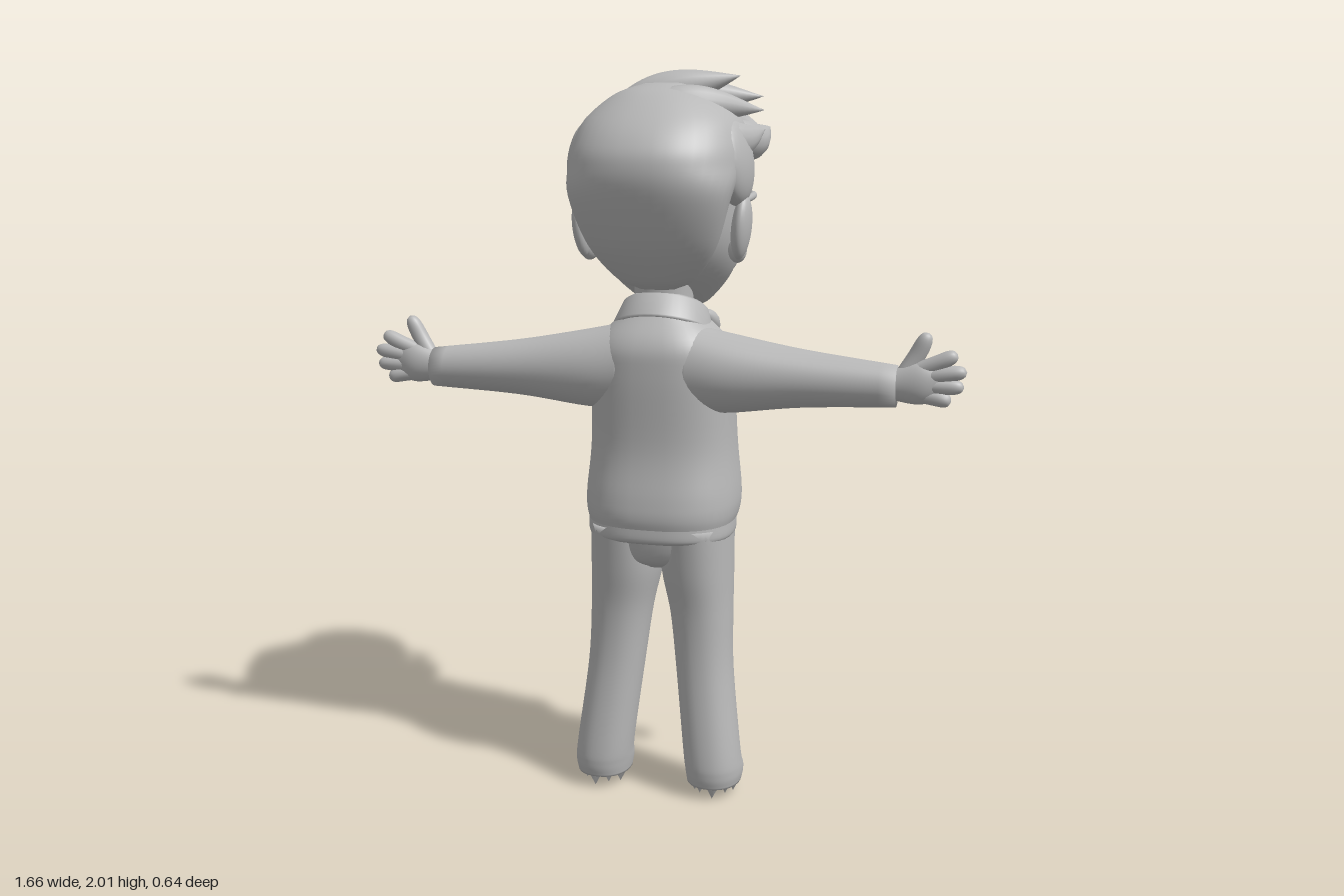
import * as THREE from 'three';
import { mergeVertices } from 'three/addons/utils/BufferGeometryUtils.js';

const clay = new THREE.MeshStandardMaterial({ color: 0xb8b8b8, side: THREE.DoubleSide });
clay.name = 'clay grey';

function add(parent, name, geometry) {
  const mesh = new THREE.Mesh(geometry, clay);
  mesh.name = name;
  parent.add(mesh);
  return mesh;
}

// Smooth body through rows [t, aRadius, bMin, bMax, aCentre].
// axis 'y': t=y, a=x, b=z.  axis 'x': t=x, a=z, b=y.
function loft(rows, axis = 'y', power = 2.2, n = 40) {
  const spline = pick => new THREE.CatmullRomCurve3(rows.map(r => new THREE.Vector3(...pick(r))), false, 'catmullrom');
  const first = spline(r => [r[0], r[1], r[4] ?? 0]), second = spline(r => [r[2], r[3], 0]);
  const steps = (rows.length - 1) * 6, pos = [], idx = [];
  const sup = v => Math.sign(v) * Math.abs(v) ** (2 / power);
  for (let i = -1; i <= steps + 1; i++) {
    // the extra first and last rings shrink to a point and close the ends
    const u = THREE.MathUtils.clamp(i / steps, 0, 1), p = first.getPoint(u), q = second.getPoint(u);
    const k = i < 0 || i > steps ? 0 : 1;
    for (let j = 0; j < n; j++) {
      const th = j / n * Math.PI * 2;
      const a = p.z + k * p.y * sup(Math.cos(th)), b = (q.x + q.y) / 2 + k * (q.y - q.x) / 2 * sup(Math.sin(th));
      if (axis === 'y') pos.push(a, p.x, b); else pos.push(p.x, b, a);
    }
  }
  for (let i = 0; i < steps + 2; i++) for (let j = 0; j < n; j++) {
    const a = i * n + j, b = i * n + (j + 1) % n;
    idx.push(a, a + n, b, b, a + n, b + n);
  }
  const g = new THREE.BufferGeometry();
  g.setAttribute('position', new THREE.Float32BufferAttribute(pos, 3));
  g.setIndex(idx);
  g.computeVertexNormals();
  return g;
}

// Thickness rules along a tube, u from 0 to 1
const even = () => 1;
const fingertip = u => Math.sqrt(1 - u ** 8);
const lens = u => Math.max(0, Math.sin(Math.PI * u));
const roll = u => lens(u) ** 0.6;
const spike = u => lens(u ** 0.85);

// Tube through points with a thickness rule; squash flattens its section.
function tuft(points, radius, rule, squash = [1, 1, 1]) {
  const curve = new THREE.CatmullRomCurve3(points.map(p => new THREE.Vector3(...p)));
  const seg = 28, sides = 14;
  let g = new THREE.TubeGeometry(curve, seg, radius, sides);
  const pos = g.attributes.position, k = new THREE.Vector3(...squash), v = new THREE.Vector3();
  for (let i = 0; i < pos.count; i++) {
    const u = Math.floor(i / (sides + 1)) / seg, c = curve.getPointAt(u);
    v.fromBufferAttribute(pos, i).sub(c).multiplyScalar(rule(u)).multiply(k).add(c);
    pos.setXYZ(i, v.x, v.y, v.z);
  }
  g.deleteAttribute('uv');
  g.deleteAttribute('normal');
  g = mergeVertices(g, 1e-5);
  g.computeVertexNormals();
  return g;
}

function ball(parent, name, at, size, tilt = 0) {
  const m = add(parent, name, new THREE.SphereGeometry(1, 28, 18));
  m.position.set(...at);
  m.scale.set(...size);
  m.rotation.z = tilt;
}

function roundedRect(w, h, r, Type) {
  const s = new Type(), x = w / 2 - r, y = h / 2 - r, q = Math.PI / 2;
  [[x, y], [-x, y], [-x, -y], [x, -y]].forEach(([cx, cy], i) => s.absarc(cx, cy, r, i * q, (i + 1) * q));
  return s.closePath();
}

// Arm, hand, trouser leg and collar flap of the +x side
function limbs() {
  const g = new THREE.Group();
  g.name = 'limbs';
  add(g, 'sleeve', loft([[0.08, 0.1, 1.1, 1.34, 0.08], [0.2, 0.104, 1.1, 1.315, 0.08], [0.4, 0.08, 1.125, 1.28, 0.09],
    [0.65, 0.052, 1.14, 1.25, 0.105]], 'x', 2));
  add(g, 'palm', loft([[0.63, 0.03, 1.16, 1.235, 0.105], [0.71, 0.033, 1.15, 1.262, 0.107], [0.77, 0.015, 1.17, 1.25, 0.107]], 'x', 2));
  add(g, 'thumb', tuft([[0.66, 1.215, 0.1], [0.7, 1.28, 0.095], [0.727, 1.336, 0.1]], 0.023, fingertip));
  [[0.803, 1.285], [0.828, 1.24], [0.822, 1.2], [0.79, 1.16]].forEach(([x, y], i) => {
    const root = 1.242 - i * 0.022;
    add(g, 'finger', tuft([[0.71, root, 0.107], [0.76, (y + root) / 2, 0.112], [x, y, 0.112]], 0.021, fingertip));
  });
  add(g, 'trouserLeg', loft([[0.035, 0.076, -0.015, 0.165, 0.163], [0.07, 0.081, -0.022, 0.172, 0.163], [0.13, 0.08, -0.002, 0.17, 0.157],
    [0.36, 0.08, -0.025, 0.145, 0.13], [0.52, 0.087, -0.055, 0.145, 0.117], [0.65, 0.099, -0.09, 0.165, 0.103], [0.78, 0.1, -0.115, 0.185, 0.1]]));
  for (let i = 0; i < 9; i++) {
    const a = i / 9 * Math.PI * 2, m = add(g, 'frayedCuff', new THREE.ConeGeometry(0.026, 0.05, 5));
    m.position.set(0.163 + Math.cos(a) * 0.055, i % 2 ? 0.035 : 0.025, 0.075 + Math.sin(a) * 0.07);
    m.rotation.x = Math.PI;
  }
  add(g, 'jacketPocket', tuft([[0.125, 0.98, -0.125], [0.14, 0.92, -0.135], [0.16, 0.85, -0.135]], 0.012, roll));
  add(g, 'collarFlap', tuft([[0.115, 1.36, 0.01], [0.09, 1.305, -0.09], [0.04, 1.245, -0.125]], 0.038, spike, [1, 1, 0.5]));
  return g;
}

// Ear, eye, cheek and glasses of the +x side
function headSide() {
  const g = new THREE.Group();
  g.name = 'headSide';
  ball(g, 'ear', [0.222, 1.595, 0.055], [0.026, 0.086, 0.05], -0.1);
  ball(g, 'earLobe', [0.208, 1.535, 0.04], [0.025, 0.035, 0.03]);
  ball(g, 'eye', [0.085, 1.635, -0.172], [0.04, 0.034, 0.026]);
  ball(g, 'cheek', [0.09, 1.515, -0.13], [0.085, 0.075, 0.07]);
  add(g, 'eyebrow', tuft([[0.03, 1.7, -0.208], [0.09, 1.722, -0.202], [0.155, 1.705, -0.16]], 0.016, roll));
  add(g, 'sideburn', tuft([[0.19, 1.8, -0.06], [0.203, 1.71, -0.03], [0.2, 1.61, -0.01]], 0.045, spike, [0.4, 1, 1]));
  const rim = roundedRect(0.16, 0.125, 0.035, THREE.Shape);
  rim.holes.push(roundedRect(0.122, 0.088, 0.025, THREE.Path));
  const frame = add(g, 'glassesRim', new THREE.ExtrudeGeometry(rim, { depth: 0.012, bevelSize: 0.003, bevelThickness: 0.003, bevelSegments: 2 }));
  frame.position.set(0.101, 1.636, -0.236);
  frame.rotation.y = -0.2;
  add(g, 'glassesTemple', tuft([[0.178, 1.675, -0.215], [0.205, 1.674, -0.17], [0.215, 1.66, 0.03]], 0.01, even));
  return g;
}

export function createModel() {
  const model = new THREE.Group();
  model.name = 'standingFigure';

  // Jacket, trousers and collar
  add(model, 'jacket', loft([[0.775, 0.2, -0.125, 0.2], [0.815, 0.212, -0.157, 0.208], [0.87, 0.214, -0.168, 0.204], [1.0, 0.202, -0.155, 0.186],
    [1.2, 0.194, -0.128, 0.192], [1.29, 0.175, -0.112, 0.182], [1.375, 0.09, -0.05, 0.12]], 'y', 2.5));
  add(model, 'jacketHem', loft([[0.742, 0.19, -0.112, 0.188], [0.755, 0.204, -0.127, 0.202], [0.8, 0.205, -0.14, 0.202]], 'y', 2.5));
  add(model, 'zipper', tuft([[0, 1.27, -0.112], [0, 1.0, -0.155], [0, 0.86, -0.168], [0, 0.78, -0.13]], 0.012, even));
  add(model, 'trouserSeat', loft([[0.655, 0.05, -0.04, 0.11], [0.69, 0.16, -0.085, 0.16], [0.78, 0.195, -0.115, 0.185]]));
  add(model, 'neck', loft([[1.28, 0.09, -0.08, 0.11], [1.37, 0.08, -0.06, 0.105], [1.47, 0.08, -0.05, 0.11]]));
  const band = [[0.098, 0.03], [0.108, 0.038], [0.118, 0.03], [0.14, -0.035], [0.13, -0.04], [0.098, 0.03]].map(p => new THREE.Vector2(...p));
  const collar = add(model, 'collar', new THREE.LatheGeometry(band, 40, -Math.PI + 0.35, Math.PI * 2 - 0.7));
  collar.position.set(0, 1.345, 0.015);
  collar.rotation.x = -0.42;

  // Head and face
  const head = new THREE.Group();
  head.name = 'head';
  model.add(head);
  add(head, 'face', loft([[1.365, 0.045, -0.165, -0.07], [1.385, 0.095, -0.2, -0.01], [1.47, 0.17, -0.213, 0.11],
    [1.57, 0.202, -0.202, 0.18], [1.72, 0.208, -0.2, 0.2], [1.82, 0.19, -0.18, 0.18], [1.9, 0.12, -0.1, 0.1]]));
  add(head, 'noseBridge', tuft([[0, 1.68, -0.185], [0, 1.62, -0.215], [0, 1.565, -0.245]], 0.027, even));
  ball(head, 'noseTip', [0, 1.562, -0.245], [0.042, 0.035, 0.042]);
  for (const y of [1.478, 1.452]) add(head, 'lip', tuft([[-0.065, 1.468, -0.195], [0, y, -0.217], [0.065, 1.468, -0.195]], 0.013, lens));
  ball(head, 'chin', [0, 1.41, -0.18], [0.06, 0.035, 0.035]);
  add(head, 'glassesBridge', tuft([[-0.035, 1.655, -0.248], [0, 1.664, -0.255], [0.035, 1.655, -0.248]], 0.01, even));

  // Mirrored parts
  for (const s of [1, -1]) for (const part of [limbs(), headSide()]) {
    part.scale.x = s;
    model.add(part);
  }

  // Hair mass
  const hair = new THREE.Group();
  hair.name = 'hair';
  model.add(hair);
  add(hair, 'hairCap', loft([[1.43, 0.05, 0.05, 0.12], [1.46, 0.11, 0.04, 0.165], [1.55, 0.175, 0.05, 0.24], [1.68, 0.218, 0.04, 0.3],
    [1.76, 0.232, -0.12, 0.311], [1.82, 0.23, -0.19, 0.288], [1.88, 0.205, -0.19, 0.235], [1.94, 0.14, -0.16, 0.155], [1.97, 0.07, -0.1, 0.07]]));
  for (const s of [1, -1]) ball(hair, 'sideHair', [s * 0.2, 1.765, 0.06], [0.05, 0.115, 0.11], s * 0.12);

  // Rolled fringe across the brow
  add(hair, 'fringe', tuft([[-0.17, 1.8, -0.12], [-0.07, 1.84, -0.235], [0.1, 1.845, -0.24], [0.23, 1.83, -0.14]], 0.08, roll));

  // Swept locks: root, middle and pointed tip
  const locks = [
    [[-0.15, 1.87, -0.08], [0.03, 1.92, -0.21], [0.19, 1.95, -0.19]],
    [[-0.18, 1.86, -0.02], [0.03, 1.935, -0.09], [0.24, 1.94, -0.13]],
    [[-0.17, 1.88, 0.06], [0, 1.946, 0.01], [0.2, 1.99, -0.02]],
    [[-0.12, 1.86, 0.14], [0.08, 1.91, 0.08], [0.265, 1.9, -0.02]],
    [[0.05, 1.86, 0.17], [0.19, 1.82, 0.06], [0.255, 1.85, -0.08]],
    [[0.14, 1.86, 0.02], [0.205, 1.82, -0.09], [0.245, 1.86, -0.2]],
    [[-0.2, 1.8, 0.12], [-0.18, 1.85, -0.02], [-0.12, 1.82, -0.18]],
  ];
  for (const lock of locks) add(hair, 'hairLock', tuft(lock, 0.055, spike));
  return model;
}
